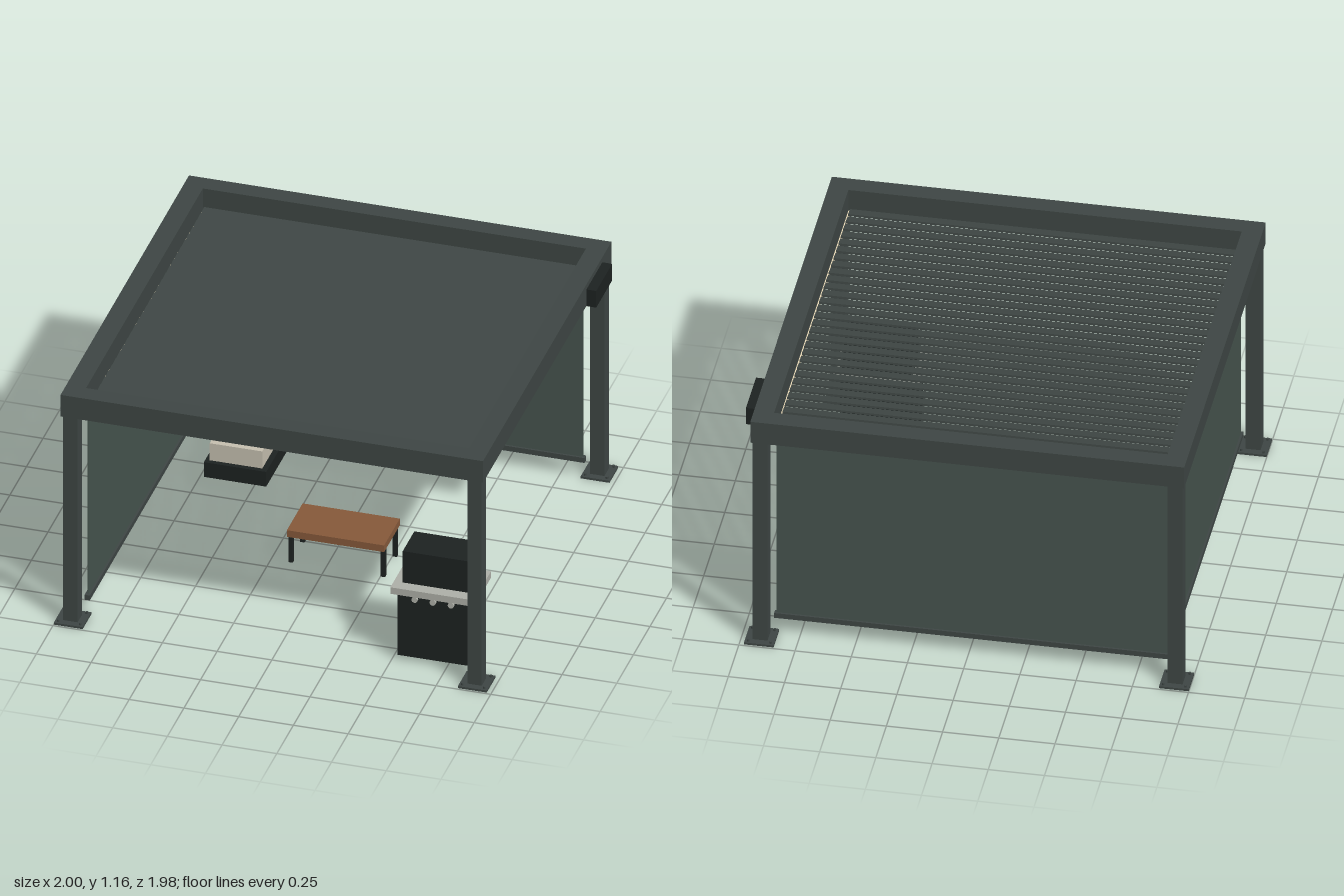
import * as THREE from 'three';

const mat = (color) => new THREE.MeshStandardMaterial({ color });

export function createModel() {
  const model = new THREE.Group();
  const frame = mat(0x3e4644), screen = mat(0x46544e), black = mat(0x1d2221);
  const cream = mat(0xc6c0b0), pillow = mat(0x5f6f66), wood = mat(0x86593a);
  const steel = mat(0xaeb0a8), led = mat(0xe6d6b4);

  // Box given by its min and max on each axis
  const box = (name, m, [x0, x1], [y0, y1], [z0, z1], parent = model) => {
    const mesh = new THREE.Mesh(new THREE.BoxGeometry(x1 - x0, y1 - y0, z1 - z0), m);
    mesh.position.set((x0 + x1) / 2, (y0 + y1) / 2, (z0 + z1) / 2);
    mesh.name = name;
    parent.add(mesh);
    return mesh;
  };
  const group = (name) => {
    const g = new THREE.Group();
    g.name = name;
    model.add(g);
    return g;
  };
  const cx = -0.01; // pergola centre, shifted by the side heater box

  // Roof frame: rectangular ring of beams
  const rect = (Type, w, d) => new Type([[-w, -d], [w, -d], [w, d], [-w, d]].map((p) => new THREE.Vector2(...p)));
  const ring = rect(THREE.Shape, 0.965, 0.968);
  ring.holes.push(rect(THREE.Path, 0.875, 0.88));
  const roof = new THREE.Mesh(new THREE.ExtrudeGeometry(ring, { depth: 0.11, bevelEnabled: false }), frame);
  roof.rotation.x = -Math.PI / 2;
  roof.position.set(cx, 1.055, 0);
  roof.name = 'roofFrame';
  model.add(roof);

  // Louvre slats
  const louvres = group('louvres');
  const count = 30, pitch = 1.734 / count;
  for (let i = 0; i < count; i++) {
    const z = -0.867 + (i + 0.5) * pitch;
    const slat = box('louvre', frame, [-0.874, 0.854], [1.07, 1.08], [z - 0.0245, z + 0.0245], louvres);
    slat.rotation.x = 0.12;
  }

  // Light strips along the inner edge of the frame
  const strips = group('lightStrips');
  for (const s of [-1, 1]) {
    const x = cx + s * 0.87, z = s * 0.874;
    box('lightStrip', led, [x - 0.006, x + 0.006], [1.044, 1.056], [-0.88, 0.88], strips);
    box('lightStrip', led, [-0.88, 0.86], [1.044, 1.056], [z - 0.006, z + 0.006], strips);
  }

  // Corner posts with bolted base plates
  for (const sx of [-1, 1]) for (const sz of [-1, 1]) {
    const post = group('cornerPost');
    post.position.set(cx + sx * 0.923, 0, sz * 0.925);
    box('post', frame, [-0.033, 0.033], [0.01, 1.056], [-0.033, 0.033], post);
    box('basePlate', frame, [-0.066, 0.066], [0, 0.01], [-0.066, 0.066], post);
    for (const bx of [-1, 1]) for (const bz of [-1, 1]) {
      const bolt = new THREE.Mesh(new THREE.CylinderGeometry(0.006, 0.006, 0.012, 6), frame);
      bolt.position.set(bx * 0.05, 0.014, bz * 0.05);
      bolt.name = 'anchorBolt';
      post.add(bolt);
    }
  }

  // Pull-down screens on the back and the -x side
  box('backScreen', screen, [-0.88, 0.857], [0.095, 1.012], [-0.873, -0.867]);
  box('backScreenBar', frame, [-0.89, 0.865], [0.082, 0.107], [-0.882, -0.858]);
  box('sideScreen', screen, [-0.883, -0.877], [0.095, 1.012], [-0.867, 0.867]);
  box('sideScreenBar', frame, [-0.892, -0.868], [0.082, 0.107], [-0.882, 0.88]);

  // Control box on the outside of the frame
  box('controlBox', black, [0.95, 1.0], [1.055, 1.14], [-0.83, -0.59]);

  // Corner sofa
  const sofa = group('sofa');
  box('sofaBase', black, [-0.685, 0.44], [0.1, 0.175], [-0.84, -0.55], sofa);
  box('chaiseBase', black, [-0.685, -0.4], [0.1, 0.175], [-0.55, -0.235], sofa);
  box('seatCushion', cream, [-0.66, 0.415], [0.175, 0.252], [-0.8, -0.56], sofa);
  box('chaiseCushion', cream, [-0.665, -0.425], [0.175, 0.262], [-0.78, -0.258], sofa);
  box('backCushion', cream, [-0.665, 0.42], [0.218, 0.476], [-0.83, -0.768], sofa);
  for (const x of [-0.45, 0.217]) {
    box('pillow', pillow, [x - 0.09, x + 0.09], [0.284, 0.457], [-0.77, -0.72], sofa);
  }

  // Coffee table
  const table = group('coffeeTable');
  box('tableTop', wood, [-0.167, 0.277], [0.149, 0.183], [-0.015, 0.222], table);
  for (const x of [-0.156, 0.266]) for (const z of [0.016, 0.194]) {
    box('tableLeg', black, [x - 0.01, x + 0.01], [0.01, 0.15], [z - 0.01, z + 0.01], table);
  }

  // Grill
  const grill = group('grill');
  box('grillCabinet', black, [0.525, 0.852], [0.025, 0.345], [0.618, 0.838], grill);
  box('grillCounter', steel, [0.498, 0.88], [0.343, 0.376], [0.6, 0.857], grill);
  box('grillHood', black, [0.538, 0.845], [0.376, 0.536], [0.627, 0.802], grill);
  for (const x of [0.606, 0.689, 0.772]) {
    const knob = new THREE.Mesh(new THREE.CylinderGeometry(0.014, 0.014, 0.015, 16), steel);
    knob.rotation.x = Math.PI / 2;
    knob.position.set(x, 0.326, 0.844);
    knob.name = 'knob';
    grill.add(knob);
  }
  return model;
}
